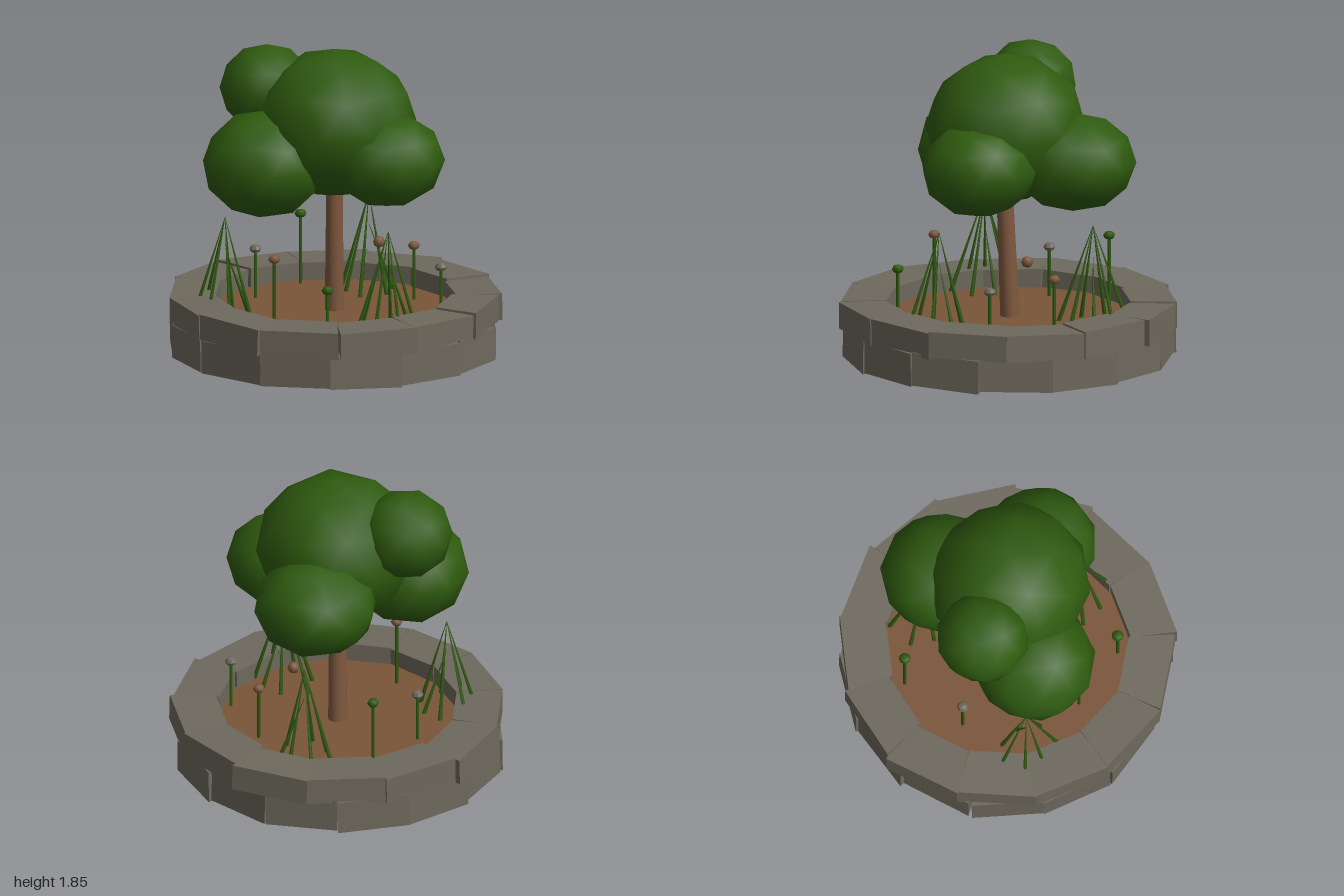
import * as THREE from 'three';

const mat = (name, color, extra = {}) => new THREE.MeshStandardMaterial({ name, color, ...extra });

export function createModel() {
  const stoneMat = mat('stone grey', 0x6e695d, { flatShading: true });
  const soilMat = mat('soil brown', 0x7a5539);
  const barkMat = mat('bark brown', 0x80593f);
  const leafMat = mat('leaf green', 0x2f5b0f);

  const model = new THREE.Group();
  model.name = 'planterWithTree';

  let seed = 11;
  const jitter = (amount) => {
    seed = (seed * 16807) % 2147483647;
    return (seed / 2147483647 * 2 - 1) * amount;
  };

  const add = (parent, name, geometry, material) => {
    const mesh = new THREE.Mesh(geometry, material);
    mesh.name = name;
    parent.add(mesh);
    return mesh;
  };

  // Tapered rod standing between two points
  const rod = (parent, name, from, to, rBottom, rTop, sides, material) => {
    const a = new THREE.Vector3(...from), b = new THREE.Vector3(...to);
    const dir = b.clone().sub(a);
    const mesh = add(parent, name, new THREE.CylinderGeometry(rTop, rBottom, dir.length(), sides), material);
    mesh.position.copy(a).add(b).multiplyScalar(0.5);
    mesh.quaternion.setFromUnitVectors(new THREE.Vector3(0, 1, 0), dir.normalize());
    return mesh;
  };

  // Wedge-shaped stones laid in a ring, each slightly out of line
  const stoneRing = (name, count, startAngle, y0, y1, inner, outer) => {
    const ring = new THREE.Group();
    ring.name = name;
    model.add(ring);
    const slope = Math.tan(Math.PI / count);
    const mid = (inner + outer) / 2;
    for (let i = 0; i < count; i++) {
      const geometry = new THREE.BoxGeometry(outer - inner, y1 - y0, 1);
      const p = geometry.attributes.position;
      for (let v = 0; v < p.count; v++) {
        p.setZ(v, Math.sign(p.getZ(v)) * (p.getX(v) + mid) * slope);
      }
      geometry.computeVertexNormals();
      const angle = startAngle + i / count * Math.PI * 2;
      const stone = add(ring, 'stone', geometry, stoneMat);
      const r = mid + jitter(0.012);
      stone.position.set(Math.cos(angle) * r, (y0 + y1) / 2 + jitter(0.004), Math.sin(angle) * r);
      stone.rotation.order = 'YXZ';
      stone.rotation.set(jitter(0.03), -angle + jitter(0.06), jitter(0.025));
    }
  };
  stoneRing('lowerStoneRing', 14, 0, 0.01, 0.21, 0.7, 0.955);
  stoneRing('upperStoneRing', 13, Math.PI, 0.2, 0.36, 0.7, 0.968);

  // Soil bed
  add(model, 'soil', new THREE.CylinderGeometry(0.73, 0.73, 0.21, 28), soilMat).position.y = 0.145;

  // Tree
  const tree = new THREE.Group();
  tree.name = 'tree';
  model.add(tree);
  rod(tree, 'trunk', [0.006, 0.22, 0], [-0.022, 1.15, 0.025], 0.058, 0.048, 12, barkMat);

  // name, centre, radii, turn
  const blobs = [
    ['mainFoliage', [-0.01, 1.4, 0.02], [0.48, 0.45, 0.49], 0.2],
    ['rightFoliage', [-0.38, 1.18, -0.22], [0.37, 0.325, 0.37], 0.5],
    ['leftFoliage', [0.38, 1.215, -0.13], [0.37, 0.295, 0.37], 0.9],
    ['frontFoliage', [0.045, 1.22, 0.37], [0.345, 0.285, 0.35], 1.3],
    ['backFoliage', [-0.14, 1.57, -0.4], [0.28, 0.265, 0.28], 0.7],
  ];
  for (const [name, centre, radii, turn] of blobs) {
    const geometry = new THREE.IcosahedronGeometry(1, 1);
    geometry.rotateZ(-0.5536); // stand one corner on top
    geometry.rotateY(turn);
    const blob = add(tree, name, geometry, leafMat);
    blob.position.set(...centre);
    blob.scale.set(...radii);
  }

  // Grass tufts: blades leaning together to one tip, plus a shorter one
  for (const [x, z, turn] of [[-0.13, 0.53, 0.3], [0.505, -0.15, 0.9], [-0.49, -0.43, 0.5]]) {
    const tuft = new THREE.Group();
    tuft.name = 'grassTuft';
    model.add(tuft);
    for (let i = 0; i < 7; i++) {
      const a = turn + i / 7 * Math.PI * 2;
      const spread = 0.15 + (i % 3) * 0.03;
      const tipY = i === 0 ? 0.65 : 0.84;
      rod(tuft, 'blade', [x + Math.cos(a) * spread, 0.24, z + Math.sin(a) * spread],
        [x, tipY, z], 0.014, 0.001, 5, leafMat);
    }
  }

  // Flowers: position of the head, colour, whether it has a stem
  const flowers = [
    [-0.55, 0.665, 0, barkMat, true],
    [-0.53, 0.535, 0.395, leafMat, true],
    [-0.09, 0.55, -0.53, stoneMat, true],
    [0.24, 0.64, 0.15, barkMat, false],
    [0.285, 0.55, 0.59, stoneMat, true],
    [0.34, 0.68, -0.54, leafMat, true],
    [0.485, 0.58, 0.215, barkMat, true],
  ];
  for (const [x, y, z, material, hasStem] of flowers) {
    const flower = new THREE.Group();
    flower.name = 'flower';
    model.add(flower);
    const head = add(flower, 'flowerHead', new THREE.SphereGeometry(0.036, 8, 4), material);
    head.position.set(x, y, z);
    head.scale.y = hasStem ? 0.75 : 1;
    if (hasStem) rod(flower, 'stem', [x, 0.24, z], [x, y, z], 0.01, 0.01, 6, leafMat);
  }

  return model;
}
